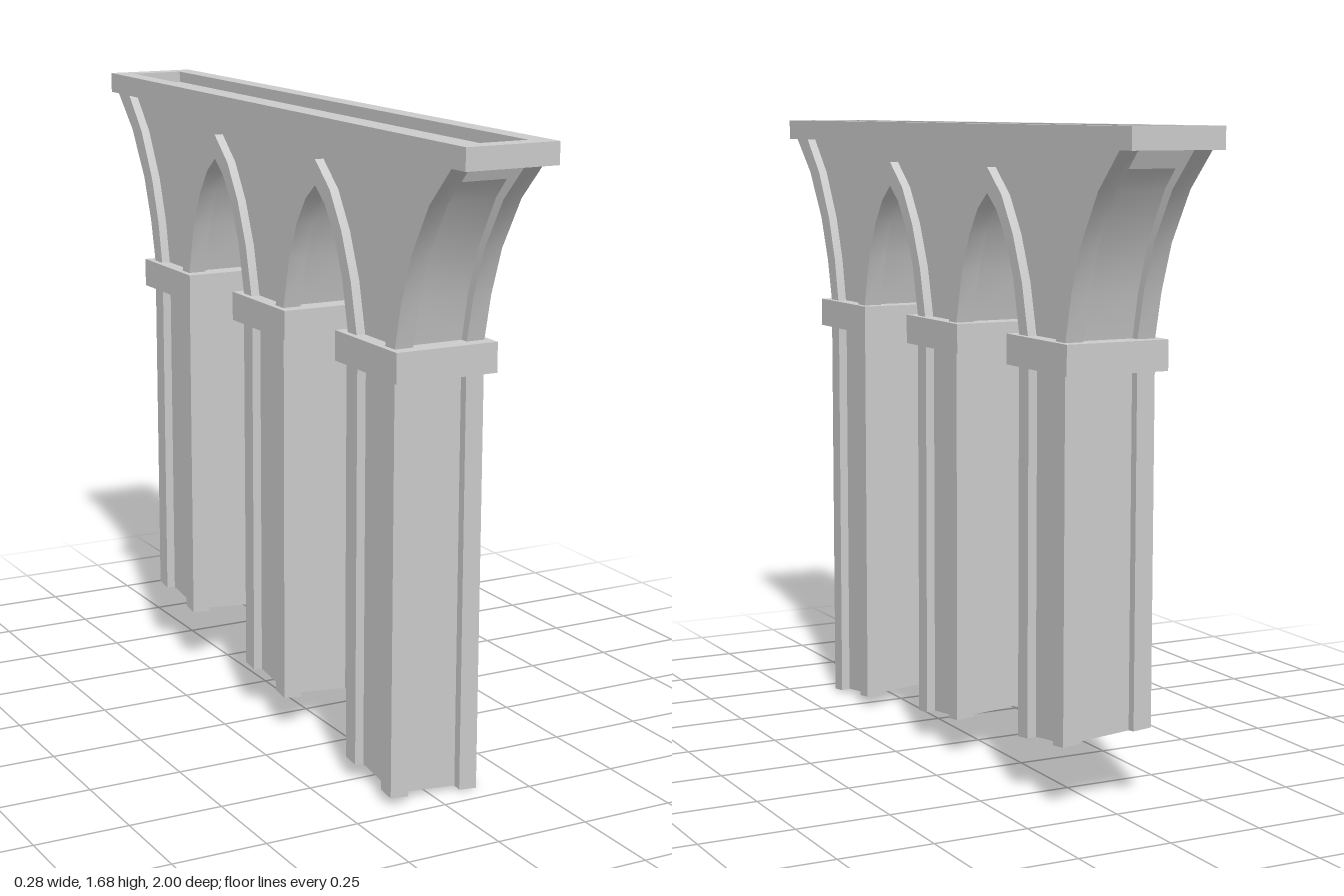
import * as THREE from 'three';
import { toCreasedNormals } from 'three/addons/utils/BufferGeometryUtils.js';

const stone = new THREE.MeshStandardMaterial({ color: 0xcccccc });
stone.name = 'stone';
const stoneSheet = new THREE.MeshStandardMaterial({ color: 0xcccccc, side: THREE.DoubleSide });
stoneSheet.name = 'stone sheet';

const HX = 0.125;       // half width of pillars, ribs and deck
const POST = 0.05;      // width of corner posts and ribs
const RECESS = 0.024;   // how far panels sit behind the posts
const HZ = 0.117;       // half depth of a pillar
const Z0 = -0.003;      // centre of the arcade
const PITCH = 0.58;     // pillar spacing
const SPRING = 1.165, DECK = 1.625;

// Curves as [z, y]: half arch relative to its centre line, and the flared end
const archIn = [[0.174, SPRING], [0.142, 1.3], [0.098, 1.4], [0.05, 1.468], [0, 1.507]];
const archOut = [[0.219, SPRING], [0.187, 1.295], [0.139, 1.41], [0.078, 1.505], [0, 1.572]];
const endOut = [[0.697, SPRING], [0.724, 1.28], [0.768, 1.4], [0.848, 1.53], [0.943, DECK]];
const endIn = [[0.65, SPRING], [0.672, 1.28], [0.712, 1.4], [0.782, 1.53], [0.866, DECK]];
const between = (a, b) => a.map((p, i) => [(p[0] + b[i][0]) / 2, (p[1] + b[i][1]) / 2]);
const flip = (pts) => pts.map(([z, y]) => [-z, y]);
const shift = (pts, d) => pts.map(([z, y]) => [z + d, y]);
const fullArch = (half) => [...half, ...flip(half).reverse().slice(1)];
const toShape = (pts) => new THREE.Shape(pts.map(([z, y]) => new THREE.Vector2(-z, y)));

function add(parent, name, geometry, material = stone) {
  const mesh = new THREE.Mesh(geometry, material);
  mesh.name = name;
  parent.add(mesh);
  return mesh;
}

// Box whose foot follows the sloping ground
function groundedBox(w, d, x, z, top) {
  const g = new THREE.BoxGeometry(w, 1, d).translate(x, 0, z);
  const p = g.attributes.position;
  for (let i = 0; i < p.count; i++) {
    const foot = (HX - p.getX(i)) * 0.08 + (0.694 - p.getZ(i)) * 0.123;
    p.setY(i, p.getY(i) > 0 ? top : foot);
  }
  g.computeVertexNormals();
  return g;
}

// Rib outlined by two curves, extruded across x
function ribGeometry(a, b, x) {
  const g = new THREE.ExtrudeGeometry(toShape([...a, ...[...b].reverse()]),
    { depth: POST, bevelEnabled: false });
  g.translate(0, 0, -POST / 2).rotateY(Math.PI / 2).translate(x, 0, 0);
  return toCreasedNormals(g, 0.65);
}

// Smooth curved sheet spanning the width
function sheetGeometry(pts, hx) {
  const pos = [], index = [];
  pts.forEach(([z, y], i) => {
    pos.push(-hx, y, z, hx, y, z);
    if (i) index.push(2 * i - 2, 2 * i - 1, 2 * i, 2 * i - 1, 2 * i + 1, 2 * i);
  });
  const g = new THREE.BufferGeometry();
  g.setAttribute('position', new THREE.Float32BufferAttribute(pos, 3));
  g.setIndex(index);
  g.computeVertexNormals();
  return g;
}

function buildPillar(zc) {
  const pillar = new THREE.Group();
  pillar.name = 'pillar';
  const px = HX - RECESS, pz = HZ - RECESS, t = 0.004;
  for (const s of [-1, 1]) {
    for (const k of [-1, 1]) {
      add(pillar, 'cornerPost', groundedBox(POST, POST,
        s * (HX - POST / 2), zc + k * (HZ - POST / 2), 1.1));
    }
    add(pillar, 'sidePanel', groundedBox(t, 2 * pz, s * (px - t / 2), zc, 1.1));
    add(pillar, 'endPanel', groundedBox(2 * px, t, 0, zc + s * (pz - t / 2), 1.1));
  }
  add(pillar, 'capital', new THREE.BoxGeometry(0.282, 0.077, 0.306)
    .translate(0, 1.1265, zc));
  return pillar;
}

export function createModel() {
  const model = new THREE.Group();
  model.name = 'arcade';
  for (const k of [-1, 0, 1]) model.add(buildPillar(Z0 + k * PITCH));

  const upper = new THREE.Group();
  upper.name = 'upperArcade';
  upper.position.z = Z0;
  model.add(upper);
  const archMid = fullArch(between(archIn, archOut));
  const endMid = between(endOut, endIn);

  // Ribs along every curve, on both sides
  for (const s of [-1, 1]) {
    const x = s * (HX - POST / 2);
    for (const k of [-0.5, 0.5]) {
      add(upper, 'archRib', ribGeometry(shift(fullArch(archIn), k * PITCH),
        shift(fullArch(archOut), k * PITCH), x));
    }
    add(upper, 'endRib', ribGeometry(endOut, endIn, x));
    add(upper, 'endRib', ribGeometry(flip(endOut), flip(endIn), x));

    // Recessed spandrel wall
    const wall = toShape([...[...endMid].reverse(), ...shift(archMid, PITCH / 2),
      ...shift(archMid, -PITCH / 2), ...flip(endMid)]);
    add(upper, 'spandrelWall', new THREE.ShapeGeometry(wall)
      .rotateY(Math.PI / 2).translate(s * (HX - RECESS), 0, 0), stoneSheet);
  }

  // Recessed undersides; the end ones stop short of the deck
  for (const k of [-0.5, 0.5]) {
    add(upper, 'archSoffit', sheetGeometry(shift(archMid, k * PITCH), HX - RECESS), stoneSheet);
  }
  const endSoffit = [...endMid.slice(0, 4), [0.861, 1.58]];
  add(upper, 'endSoffit', sheetGeometry(endSoffit, HX - RECESS), stoneSheet);
  add(upper, 'endSoffit', sheetGeometry(flip(endSoffit), HX - RECESS), stoneSheet);

  // Deck with a shallow channel
  const rect = (C, hx, hz) => new C([[-hx, -hz], [hx, -hz], [hx, hz], [-hx, hz]]
    .map(([x, y]) => new THREE.Vector2(x, y)));
  const rim = rect(THREE.Shape, HX, 1);
  rim.holes.push(rect(THREE.Path, 0.073, 0.948));
  add(model, 'deckRim', new THREE.ExtrudeGeometry(rim, { depth: 0.055, bevelEnabled: false })
    .rotateX(-Math.PI / 2).translate(0, DECK, 0));
  add(model, 'deckFloor', new THREE.BoxGeometry(0.146, 0.025, 1.896)
    .translate(0, DECK + 0.0125, 0));
  return model;
}
